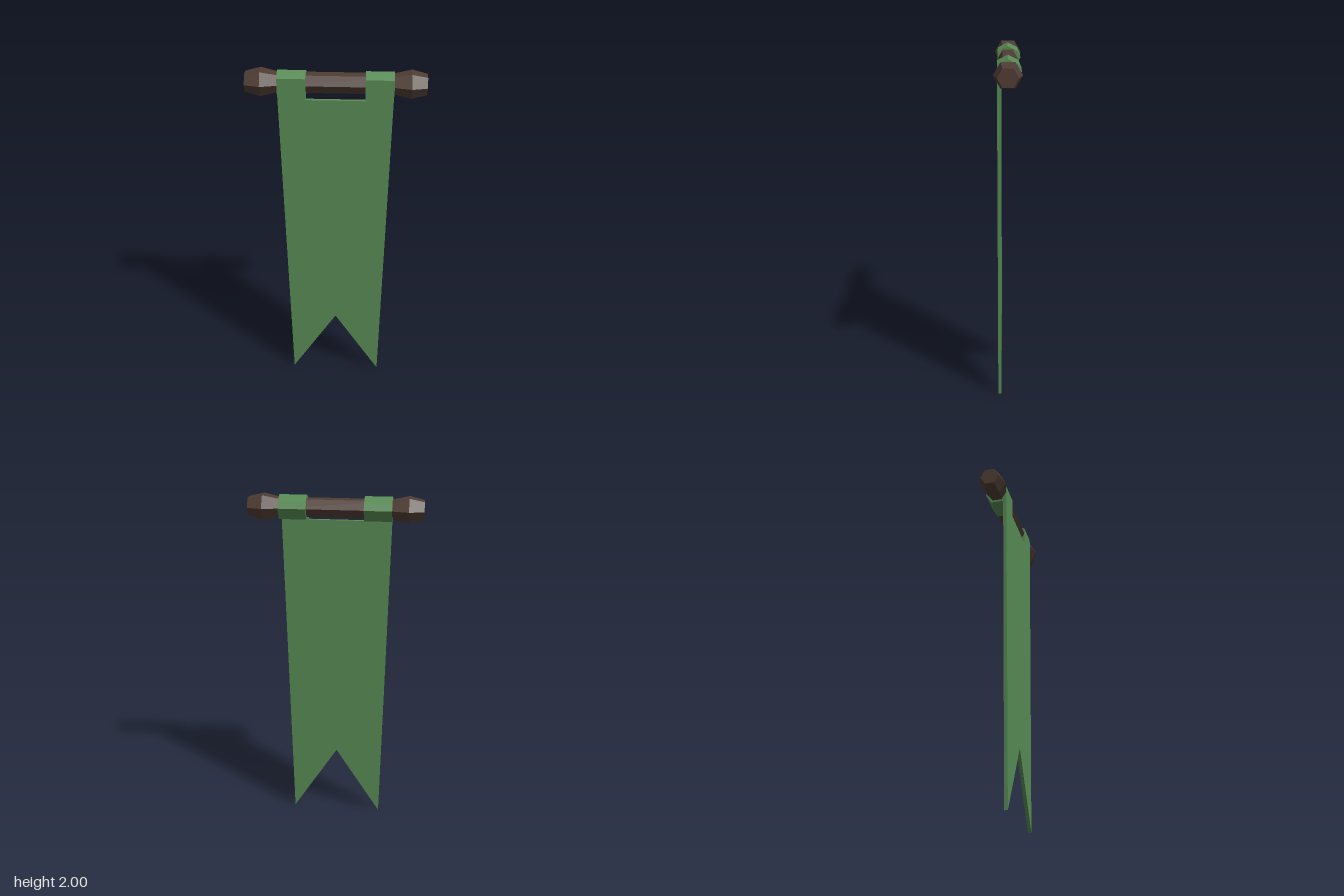
import * as THREE from 'three';

const wood = new THREE.MeshStandardMaterial({ color: 0x4f3d33, flatShading: true });
const cloth = new THREE.MeshStandardMaterial({ color: 0x588c55, flatShading: true });

const AXIS_Y = 1.932;

function polygon(points) {
  return new THREE.Shape(points.map(([x, y]) => new THREE.Vector2(x, y)));
}

function addMesh(group, name, geometry, material) {
  const mesh = new THREE.Mesh(geometry, material);
  mesh.name = name;
  group.add(mesh);
  return mesh;
}

export function createModel() {
  const group = new THREE.Group();
  group.name = 'hangingBanner';

  // Six-sided crossbar with a swollen knob at each end
  const half = [[0.31, 0.056], [0.4, 0.077], [0.482, 0.056], [0.482, 0]];
  const profile = [
    ...half.map(([x, r]) => new THREE.Vector2(r, -x)).reverse(),
    ...half.map(([x, r]) => new THREE.Vector2(r, x)),
  ];
  const bar = new THREE.LatheGeometry(profile, 6);
  bar.rotateZ(-Math.PI / 2);
  addMesh(group, 'crossbar', bar, wood).position.y = AXIS_Y;

  // Tapering cloth with two tabs at the top and a swallowtail at the bottom
  const panel = new THREE.ExtrudeGeometry(polygon([
    [0, 0.415], [0.265, 0], [0.31, 1.972], [0.158, 1.972], [0.158, 1.855],
    [-0.158, 1.855], [-0.158, 1.972], [-0.31, 1.972], [-0.265, 0],
  ]), { depth: 0.02, bevelEnabled: false });
  addMesh(group, 'bannerCloth', panel, cloth).position.z = 0.037;

  // Loops folding over the bar and back to the cloth; outline in (z, y)
  const width = 0.152;
  const outline = polygon([
    [0.056, 1.972], [0, 2], [-0.055, 1.972], [-0.072, 1.935],
    [-0.037, 1.871], [0.04, 1.871], [0.056, 1.885],
  ]);
  for (const [side, name] of [[1, 'leftLoop'], [-1, 'rightLoop']]) {
    const loop = new THREE.ExtrudeGeometry(outline, { depth: width, bevelEnabled: false });
    loop.rotateY(-Math.PI / 2);
    addMesh(group, name, loop, cloth).position.x = side * 0.234 + width / 2;
  }

  return group;
}
